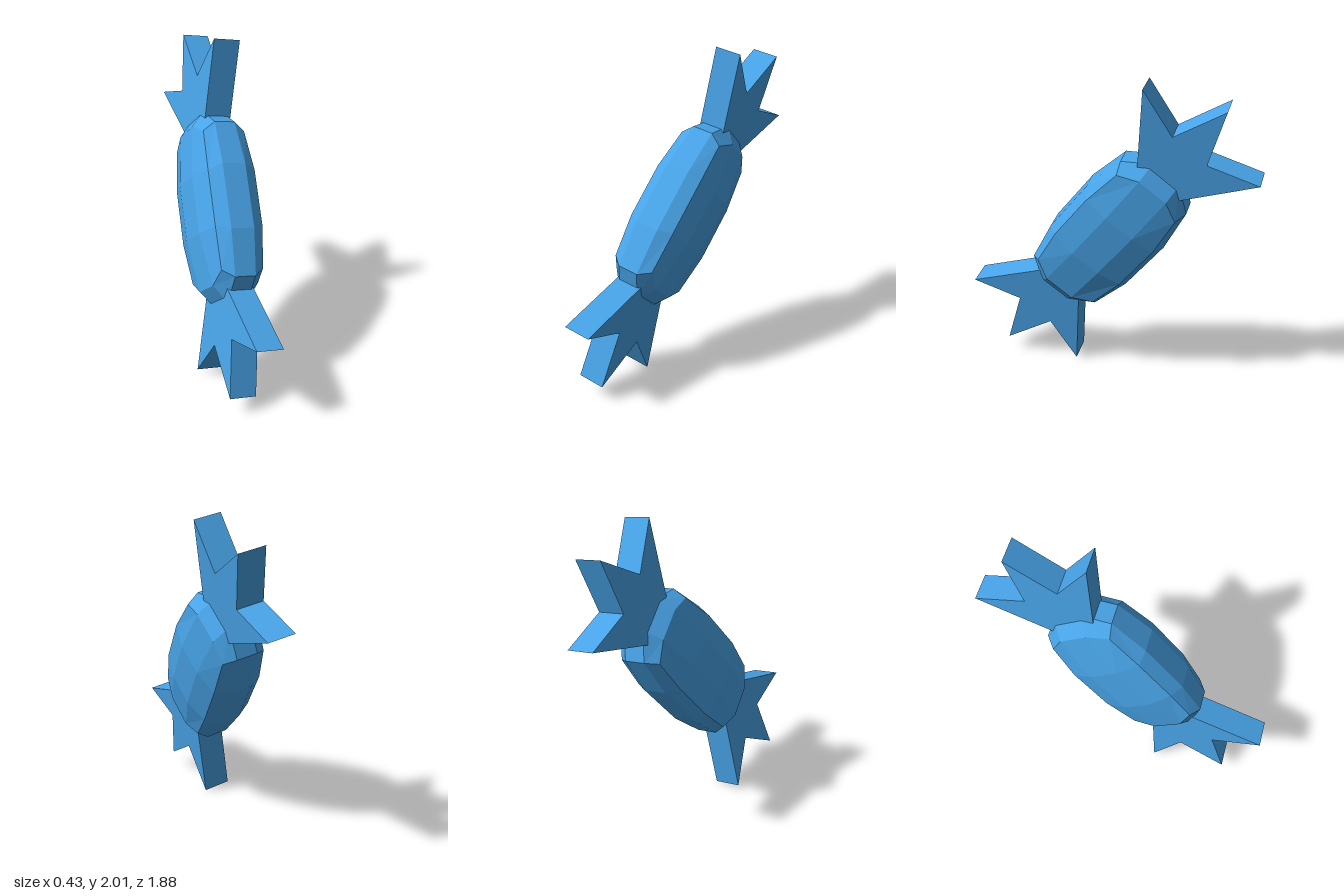
import * as THREE from 'three';

const material = new THREE.MeshStandardMaterial({ color: 0x48a4e8, flatShading: true });

// Candy body: a 3x3x3 box whose points are pulled into a rounded lozenge.
// Each key says which of x, y, z lie on the box's outer faces.
const BODY = {
  '111': [0.137, 0.43, 0.222],
  '011': [0.067, 0.48, 0.25],
  '110': [0.15, 0.5, 0.1],
  '010': [0.065, 0.6, 0.1],
  '101': [0.155, 0.17, 0.255],
  '001': [0.075, 0.2, 0.3],
  '100': [0.195, 0.18, 0.1],
};

function bodyGeometry() {
  const box = new THREE.BoxGeometry(2, 2, 2, 3, 3, 3);
  const pos = box.attributes.position;
  for (let i = 0; i < pos.count; i++) {
    const p = [pos.getX(i), pos.getY(i), pos.getZ(i)];
    const size = BODY[p.map((v) => (Math.abs(v) > 0.9 ? 1 : 0)).join('')];
    pos.setXYZ(i, ...p.map((v, k) => Math.sign(v) * size[k]));
  }
  const geometry = box.toNonIndexed();
  geometry.computeVertexNormals();
  return geometry;
}

// Wrapper end: a three-pointed fan, narrow where it enters the body
function wrapperGeometry() {
  const thickness = 0.171;
  const half = [[0.07, 0.4], [0.432, 0.94], [0.128, 0.828]];
  const mirrored = half.map(([x, y]) => [-x, y]).reverse();
  const outline = [...half, [0, 1.163], ...mirrored];
  const shape = new THREE.Shape(outline.map(([x, y]) => new THREE.Vector2(x, y)));
  const geometry = new THREE.ExtrudeGeometry(shape, { depth: thickness, bevelEnabled: false });
  geometry.translate(0, 0, -thickness / 2);
  geometry.rotateY(-Math.PI / 2);
  return geometry;
}

export function createModel() {
  const candy = new THREE.Group();
  candy.name = 'wrappedCandy';

  const body = new THREE.Mesh(bodyGeometry(), material);
  body.name = 'candyBody';
  candy.add(body);

  const fan = wrapperGeometry();
  ['upperWrapperEnd', 'lowerWrapperEnd'].forEach((name, i) => {
    const end = new THREE.Mesh(fan, material);
    end.name = name;
    end.rotation.x = i * Math.PI;
    candy.add(end);
  });

  // Lean the candy back and twist it about its long axis
  candy.rotation.set(THREE.MathUtils.degToRad(-40), THREE.MathUtils.degToRad(15), 0);
  candy.position.y = 1;

  const model = new THREE.Group();
  model.name = 'candy';
  model.add(candy);
  return model;
}
